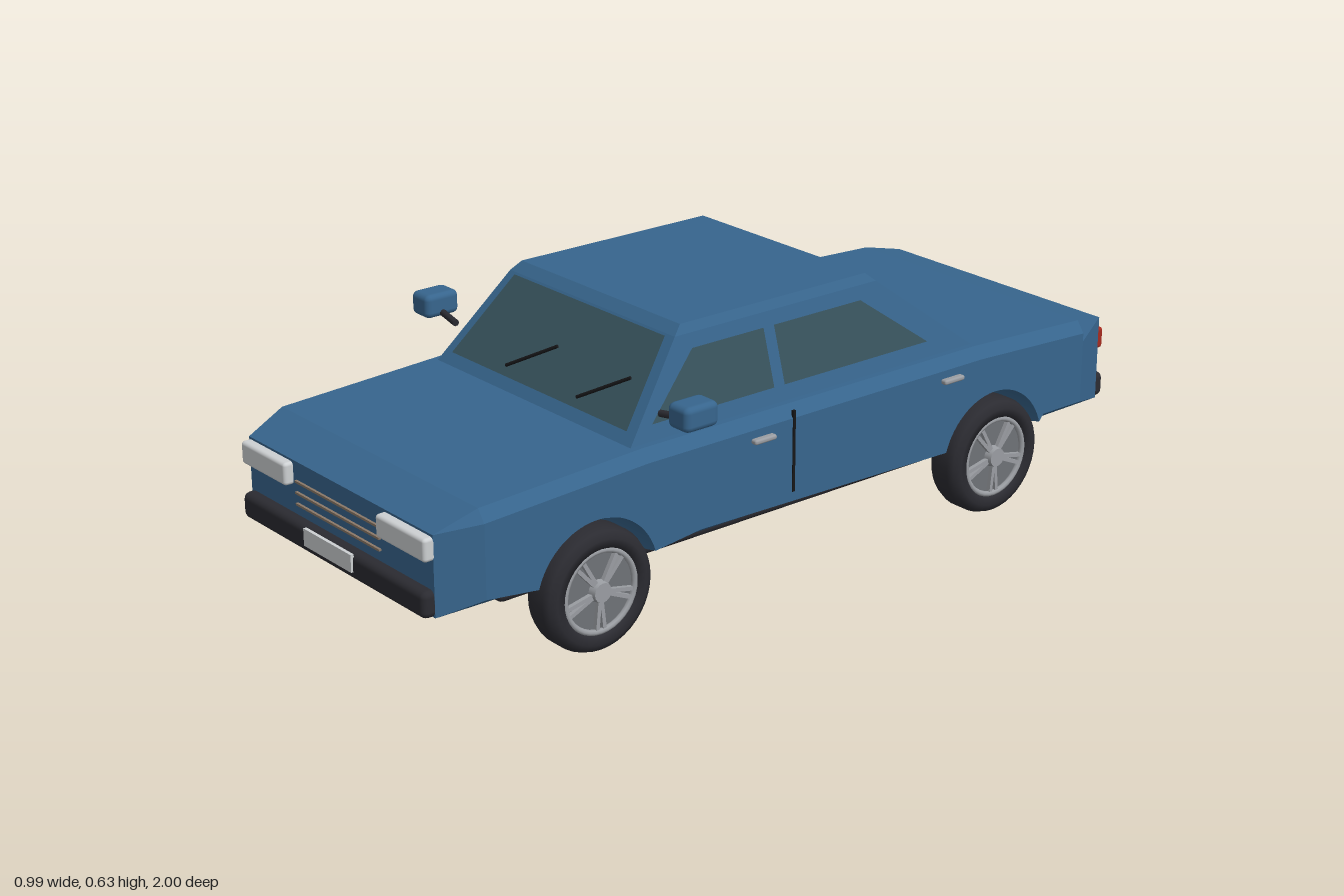
import * as THREE from 'three';
import { RoundedBoxGeometry } from 'three/addons/geometries/RoundedBoxGeometry.js';

const mat = (name, color, side = THREE.FrontSide) => {
  const m = new THREE.MeshStandardMaterial({ color, side });
  m.name = name;
  return m;
};

export function createModel() {
  const car = new THREE.Group();
  car.name = 'car';
  const paint = mat('bluePaint', 0x37658d);
  const glass = mat('tintedGlass', 0x37525c, THREE.DoubleSide);
  const rubber = mat('darkRubber', 0x2b2b31);
  const black = mat('blackTrim', 0x161618);
  const rim = mat('rimGrey', 0x9a9da2);
  const rimDark = mat('rimShadowGrey', 0x6f7277);
  const lamp = mat('paleLamp', 0xcdd0d2);
  const red = mat('redLamp', 0xa62a1e);
  const bronze = mat('bronzeTrim', 0x8a7868);

  const add = (name, geo, material, x = 0, y = 0, z = 0, parent = car) => {
    const m = new THREE.Mesh(geo, material);
    m.name = name;
    m.position.set(x, y, z);
    parent.add(m);
    return m;
  };
  const rounded = (w, h, d, r) => new RoundedBoxGeometry(w, h, d, 2, r);
  // Thin rod between two points
  const rod = (name, a, b, r, material) => {
    const p = new THREE.Vector3(...a), q = new THREE.Vector3(...b);
    const m = add(name, new THREE.CylinderGeometry(r, r, p.distanceTo(q), 8), material);
    m.position.copy(p).lerp(q, 0.5);
    m.quaternion.setFromUnitVectors(new THREE.Vector3(0, 1, 0), q.sub(p).normalize());
  };
  // Flat convex pane from corner points
  const pane = (name, pts) => {
    const g = new THREE.BufferGeometry().setFromPoints(pts.map((p) => new THREE.Vector3(...p)));
    const index = [];
    for (let i = 1; i < pts.length - 1; i++) index.push(0, i, i + 1);
    g.setIndex(index);
    g.computeVertexNormals();
    add(name, g, glass);
  };

  // Lower body: side profile with wheel arches, extruded across and chamfered at the flanks
  const axles = [0.585, -0.578];
  const archR = 0.16, axleY = 0.142, a = Math.asin((0.18 - axleY) / archR);
  const side = new THREE.Shape();
  [[0.968, 0.18], [0.968, 0.362], [0.87, 0.4], [0.45, 0.42], [-0.53, 0.42], [-0.87, 0.405],
    [-0.968, 0.385], [-0.968, 0.18]].forEach(([z, y], i) => (i ? side.lineTo(z, y) : side.moveTo(z, y)));
  [axles[1], axles[0]].forEach((z) => side.absarc(z, axleY, archR, Math.PI - a, a, true));
  const body = new THREE.ExtrudeGeometry(side, {
    depth: 0.73, bevelEnabled: true, bevelThickness: 0.02, bevelSize: 0, bevelSegments: 1, curveSegments: 24,
  });
  body.translate(0, 0, -0.365);
  const pos = body.attributes.position;
  for (let i = 0; i < pos.count; i++) {
    const z = pos.getX(i), y = pos.getY(i), x = pos.getZ(i);
    if (Math.abs(x) > 0.38) {
      pos.setX(i, THREE.MathUtils.clamp(z, -0.87, 0.87));
      if (y > 0.33) pos.setY(i, y - 0.028);
      if (y < 0.185) pos.setY(i, 0.205);
    } else if (Math.abs(z) > 0.9) {
      pos.setZ(i, Math.sign(x) * 0.345);
    } else if (y < 0.185) {
      pos.setZ(i, Math.sign(x) * 0.35);
    }
  }
  body.rotateY(-Math.PI / 2);
  body.computeVertexNormals();
  add('lowerBody', body, paint);

  // Cabin: box tapered upwards with a chamfered roof edge
  const levels = [
    { y: 0.415, x: 0.35, front: 0.472, back: -0.535 },
    { y: 0.612, x: 0.292, front: 0.302, back: -0.278 },
    { y: 0.632, x: 0.28, front: 0.278, back: -0.255 },
  ];
  const cabin = new THREE.BoxGeometry(2, 2, 2, 1, 2, 1).toNonIndexed();
  const cp = cabin.attributes.position;
  for (let i = 0; i < cp.count; i++) {
    const l = levels[Math.round(cp.getY(i) + 1)];
    cp.setXYZ(i, Math.sign(cp.getX(i)) * l.x, l.y, cp.getZ(i) > 0 ? l.front : l.back);
  }
  cabin.computeVertexNormals();
  add('cabin', cabin, paint);

  // Windows lie just outside the sloping cabin faces
  const at = (key, y) => THREE.MathUtils.mapLinear(y, levels[0].y, levels[1].y, levels[0][key], levels[1][key]);
  const screen = (key, out) => [[-0.315, 0.443], [0.315, 0.443], [0.267, 0.609], [-0.267, 0.609]]
    .map(([x, y]) => [x, y, at(key, y) + out]);
  pane('windscreen', screen('front', 0.004));
  pane('rearWindow', screen('back', -0.004));
  for (const s of [-1, 1]) {
    const sideWindow = (name, pts) => pane(name, pts.map(([z, y]) => [s * (at('x', y) + 0.004), y, z]));
    sideWindow('frontSideWindow', [[0.405, 0.455], [0.065, 0.455], [0.065, 0.582], [0.265, 0.582]]);
    sideWindow('rearSideWindow', [[0.035, 0.455], [-0.395, 0.455], [-0.22, 0.582], [0.035, 0.582]]);
  }

  // Wipers
  for (const x of [-0.127, 0.128]) {
    rod('wiper', [x, 0.462, at('front', 0.462) + 0.008], [x + 0.117, 0.526, at('front', 0.526) + 0.008], 0.004, black);
  }

  // Chassis floor
  add('chassis', rounded(0.58, 0.046, 1.53, 0.015), rubber, 0, 0.152, 0.005);
  add('floorPlate', new THREE.BoxGeometry(0.55, 0.004, 1.49), black, 0, 0.129, 0.005);

  // Bumpers, plates and lamps at both ends
  for (const s of [1, -1]) {
    add(s > 0 ? 'frontBumper' : 'rearBumper', rounded(0.69, 0.06, 0.04, 0.015), rubber, 0, 0.21, s * 0.975);
    add('numberPlate', new THREE.BoxGeometry(0.18, 0.04, 0.008), lamp, 0, 0.22, s * 0.996);
    for (const x of [-0.258, 0.258]) {
      add(s > 0 ? 'headlight' : 'tailLight', rounded(0.175, 0.052, 0.036, 0.008), s > 0 ? lamp : red, x, 0.331, s * (s > 0 ? 0.972 : 0.967));
    }
  }

  // Grille bars
  for (const y of [0.318, 0.292, 0.266]) add('grilleBar', new THREE.BoxGeometry(0.315, 0.005, 0.008), bronze, 0, y, 0.97);

  // Door seams, handles and mirrors
  for (const s of [-1, 1]) {
    add('doorSeam', new THREE.BoxGeometry(0.006, 0.19, 0.007), black, s * 0.384, 0.315, 0.045);
    for (const z of [0.136, -0.432]) add('doorHandle', rounded(0.018, 0.012, 0.062, 0.005), rim, s * 0.391, 0.368, z);
    add('mirror', rounded(0.066, 0.056, 0.09, 0.014), paint, s * 0.462, 0.512, 0.393);
    rod('mirrorArm', [s * 0.367, 0.487, 0.403], [s * 0.445, 0.496, 0.393], 0.008, rubber);
  }

  // Wheels: tyre, recessed disc, rim ring, five paired spokes and hub
  const half = [[0.14, 0.02], [0.134, 0.036], [0.118, 0.045], [0.098, 0.042], [0.096, 0.02]];
  const section = [...half.map(([r, h]) => [r, -h]).reverse(), ...half].map((p) => new THREE.Vector2(...p));
  const tyre = new THREE.LatheGeometry(section, 40);
  const disc = new THREE.CylinderGeometry(0.097, 0.097, 0.056, 32);
  const ring = new THREE.TorusGeometry(0.092, 0.007, 8, 36).rotateX(Math.PI / 2);
  const hub = new THREE.CylinderGeometry(0.022, 0.026, 0.02, 16);
  const spoke = new THREE.BoxGeometry(0.075, 0.012, 0.009);
  for (const s of [-1, 1]) {
    for (const z of axles) {
      const wheel = new THREE.Group();
      wheel.name = 'wheel';
      wheel.position.set(s * 0.355, axleY, z);
      wheel.rotation.z = -s * Math.PI / 2;
      car.add(wheel);
      add('tyre', tyre, rubber, 0, 0, 0, wheel);
      add('rimDisc', disc, rimDark, 0, 0, 0, wheel);
      add('rimRing', ring, rim, 0, 0.034, 0, wheel);
      add('hub', hub, rim, 0, 0.036, 0, wheel);
      for (let i = 0; i < 5; i++) {
        for (const d of [-0.11, 0.11]) {
          const t = i * Math.PI * 0.4 + d;
          add('spoke', spoke, rim, Math.cos(t) * 0.054, 0.032, -Math.sin(t) * 0.054, wheel).rotation.y = t;
        }
      }
    }
  }
  return car;
}
